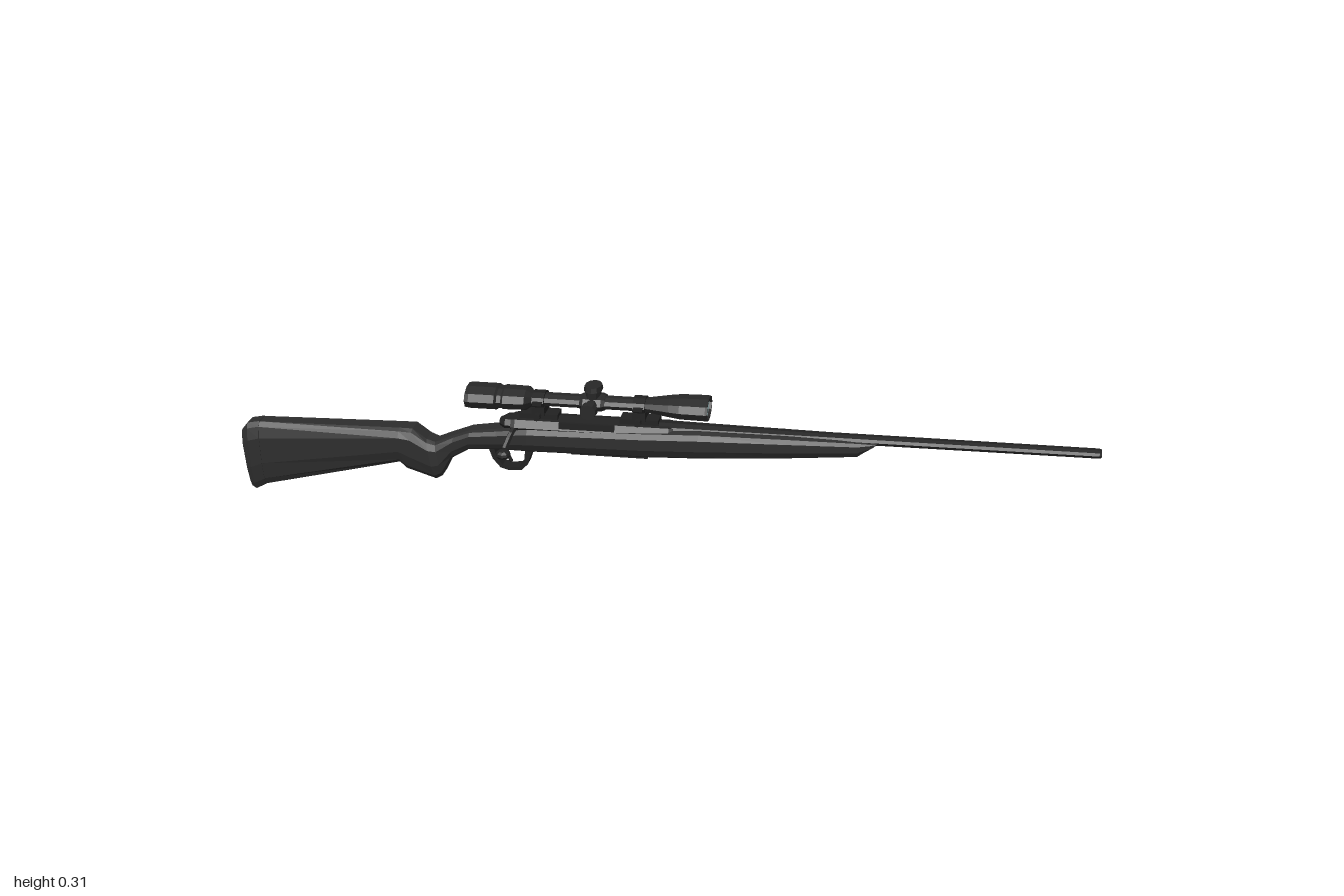
import * as THREE from 'three';

const CZ = -0.022;      // centre plane of the body
const WIDE = 1.75;      // round parts are wider than they are tall

const stockMat = new THREE.MeshStandardMaterial({ color: 0x2d2d2d });
stockMat.name = 'stock charcoal';
const metalMat = new THREE.MeshStandardMaterial({ color: 0x212121 });
metalMat.name = 'dark metal';
const scopeMat = new THREE.MeshStandardMaterial({ color: 0x272727 });
scopeMat.name = 'scope grey';
const glassMat = new THREE.MeshStandardMaterial({ color: 0xaccdd0 });
glassMat.name = 'pale glass';

// faceted normals
function facet(geo) {
  const g = geo.index ? geo.toNonIndexed() : geo;
  g.computeVertexNormals();
  return g;
}

function add(group, name, geo, mat, x = 0, y = 0, z = 0) {
  const mesh = new THREE.Mesh(facet(geo), mat);
  mesh.name = name;
  mesh.position.set(x, y, z);
  group.add(mesh);
  return mesh;
}

// turned part along x from [x, radius] pairs, widened in z
function turned(pairs, sides = 10, wide = WIDE) {
  const g = new THREE.LatheGeometry(pairs.map(([x, r]) => new THREE.Vector2(r, x)), sides);
  return g.rotateZ(-Math.PI / 2).scale(1, 1, wide);
}

// chamfered loft; section = [xTop, xBottom, yBottom, yTop, halfWidth]
function loft(sections) {
  const outline = [[1, 0.55], [0.93, 0.8], [0.76, 1], [0.36, 1], [0.1, 0.82], [0, 0.6]];
  const ring = outline.concat(outline.slice().reverse().map(([t, w]) => [t, -w]));
  const n = ring.length, pos = [], idx = [];
  for (const [xt, xb, yb, yt, hw] of sections)
    for (const [t, w] of ring) pos.push(xb + (xt - xb) * t, yb + (yt - yb) * t, w * hw);
  for (let k = 0; k < sections.length - 1; k++)
    for (let i = 0; i < n; i++) {
      const a = k * n + i, b = k * n + (i + 1) % n;
      idx.push(a, b, b + n, a, b + n, a + n);
    }
  const e = (sections.length - 1) * n;
  for (let i = 1; i < n - 1; i++) idx.push(0, i + 1, i, e, e + i, e + i + 1);
  const g = new THREE.BufferGeometry();
  g.setAttribute('position', new THREE.Float32BufferAttribute(pos, 3));
  g.setIndex(idx);
  return g;
}

export function createModel() {
  const model = new THREE.Group();
  model.name = 'scopedRifle';

  // stock, grip and fore-end
  add(model, 'buttPad', loft([
    [-1, -0.986, 0.006, 0.15, 0.03],
    [-0.985, -0.975, 0, 0.168, 0.034],
    [-0.955, -0.95, 0.013, 0.174, 0.034],
  ]), stockMat, 0, 0, CZ);
  add(model, 'buttStock', loft([
    [-0.955, -0.95, 0.014, 0.173, 0.033],
    [-0.61, -0.612, 0.095, 0.18, 0.039],
    [-0.578, -0.595, 0.08, 0.18, 0.04],
    [-0.545, -0.525, 0.058, 0.156, 0.04],
    [-0.525, -0.51, 0.066, 0.149, 0.036],
    [-0.48, -0.488, 0.11, 0.168, 0.032],
    [-0.44, -0.445, 0.136, 0.183, 0.034],
    [-0.375, -0.375, 0.142, 0.192, 0.039],
  ]), stockMat, 0, 0, CZ);
  add(model, 'foreEnd', loft([
    [-0.375, -0.375, 0.142, 0.192, 0.039],
    [-0.3, -0.3, 0.143, 0.205, 0.047],
    [-0.03, -0.03, 0.147, 0.212, 0.05],
    [0.1, 0.1, 0.152, 0.217, 0.05],
    [0.3, 0.3, 0.164, 0.216, 0.043],
    [0.46, 0.46, 0.175, 0.212, 0.031],
    [0.505, 0.492, 0.197, 0.211, 0.024],
  ]), stockMat, 0, 0, CZ);

  // barrel with a recessed muzzle, receiver and bolt shroud
  add(model, 'barrel', turned([[0, 0], [0, 0.017], [0.12, 0.015], [0.4, 0.0115],
    [0.995, 0.0105], [1, 0.009], [1, 0.005], [0.98, 0.005], [0.98, 0]]), metalMat, 0, 0.211, CZ);
  add(model, 'receiver', turned([[-0.34, 0], [-0.34, 0.021], [-0.33, 0.023], [0.03, 0.023],
    [0.045, 0.018], [0.045, 0]], 8), metalMat, 0, 0.204, CZ);
  add(model, 'boltShroud', turned([[-0.37, 0], [-0.37, 0.009], [-0.355, 0.017], [-0.34, 0.018],
    [-0.34, 0]], 8), metalMat, 0, 0.205, CZ);
  add(model, 'ejectionPort', new THREE.BoxGeometry(0.13, 0.016, 0.008), metalMat, -0.16, 0.214, CZ + 0.034);
  add(model, 'magazinePlate', new THREE.BoxGeometry(0.18, 0.01, 0.045), metalMat, -0.11, 0.145, CZ);

  // bolt handle on the front side
  const handlePath = new THREE.CatmullRomCurve3([
    new THREE.Vector3(-0.33, 0.202, 0.005), new THREE.Vector3(-0.335, 0.192, 0.03),
    new THREE.Vector3(-0.345, 0.165, 0.052)]);
  add(model, 'boltHandle', new THREE.TubeGeometry(handlePath, 5, 0.007, 6), metalMat);
  const knob = new THREE.SphereGeometry(1, 8, 6).scale(0.018, 0.011, 0.018).rotateX(0.2);
  add(model, 'boltKnob', knob, metalMat, -0.347, 0.154, 0.059);

  // trigger guard and trigger
  const guard = new THREE.Shape([[-0.4, 0.148], [-0.388, 0.115], [-0.37, 0.094], [-0.35, 0.088],
    [-0.32, 0.09], [-0.305, 0.105], [-0.295, 0.135], [-0.27, 0.148]].map(p => new THREE.Vector2(...p)));
  guard.holes.push(new THREE.Path([[-0.385, 0.143], [-0.31, 0.143], [-0.313, 0.11], [-0.325, 0.098],
    [-0.35, 0.095], [-0.365, 0.1], [-0.378, 0.118]].map(p => new THREE.Vector2(...p))));
  add(model, 'triggerGuard', new THREE.ExtrudeGeometry(guard, { depth: 0.036, bevelEnabled: false }),
    metalMat, 0, 0, CZ - 0.018);
  const triggerPath = new THREE.CatmullRomCurve3([
    new THREE.Vector3(-0.352, 0.146, 0), new THREE.Vector3(-0.357, 0.125, 0),
    new THREE.Vector3(-0.347, 0.104, 0)]);
  add(model, 'trigger', new THREE.TubeGeometry(triggerPath, 5, 0.004, 5).scale(1, 1, 1.6), metalMat, 0, 0, CZ);

  // scope
  const scope = new THREE.Group();
  scope.name = 'scope';
  scope.position.set(0, 0.265, CZ);
  model.add(scope);
  add(scope, 'scopeBody', turned([[-0.437, 0], [-0.437, 0.022], [-0.445, 0.024], [-0.445, 0.027],
    [-0.435, 0.0285], [-0.375, 0.0285], [-0.37, 0.025], [-0.36, 0.025], [-0.355, 0.027],
    [-0.305, 0.026], [-0.29, 0.015], [-0.03, 0.015], [0.03, 0.024], [0.055, 0.027],
    [0.115, 0.028], [0.12, 0.027], [0.12, 0.0235], [0.11, 0.0225], [0.11, 0]]), scopeMat);
  add(scope, 'frontLens', turned([[0.11, 0.0235], [0.114, 0.023], [0.116, 0]]), glassMat);
  add(scope, 'rearLens', turned([[-0.442, 0], [-0.44, 0.0225], [-0.437, 0.023]]), glassMat);

  // adjustment turrets: one on top, one on the front side
  add(scope, 'turretBlock', turned([[-0.178, 0], [-0.178, 0.017], [-0.17, 0.02], [-0.128, 0.02],
    [-0.12, 0.017], [-0.12, 0]], 8), scopeMat);
  add(scope, 'topTurretStem', new THREE.CylinderGeometry(0.017, 0.017, 0.02, 10).scale(1, 1, WIDE),
    scopeMat, -0.149, 0.024, 0);
  add(scope, 'topTurretCap', new THREE.CylinderGeometry(0.02, 0.022, 0.011, 10).scale(1, 1, 1.55),
    scopeMat, -0.149, 0.0365, 0);
  add(scope, 'sideTurretStem', new THREE.CylinderGeometry(0.014, 0.014, 0.04, 10).rotateX(Math.PI / 2),
    scopeMat, -0.149, 0, 0.04);
  add(scope, 'sideTurretCap', new THREE.CylinderGeometry(0.018, 0.02, 0.02, 10).rotateX(Math.PI / 2),
    scopeMat, -0.149, 0, 0.064);

  // mounts: base, foot, ring and clamp screw
  for (const x of [-0.275, -0.04]) {
    const mount = new THREE.Group();
    mount.name = 'scopeMount';
    mount.position.set(x, 0, CZ);
    model.add(mount);
    add(mount, 'mountBase', new THREE.BoxGeometry(0.09, 0.012, 0.045), metalMat, 0, 0.229, 0);
    add(mount, 'mountFoot', new THREE.BoxGeometry(0.03, 0.022, 0.055), metalMat, 0, 0.242, 0);
    add(mount, 'mountRing', turned([[-0.014, 0.014], [-0.014, 0.0195], [0.014, 0.0195], [0.014, 0.014]]),
      metalMat, 0, 0.265, 0);
    add(mount, 'clampScrew', new THREE.CylinderGeometry(0.008, 0.008, 0.02, 8).rotateX(Math.PI / 2),
      metalMat, 0, 0.233, 0.034);
    for (const s of [-1, 1])
      add(mount, 'ringClamp', new THREE.BoxGeometry(0.022, 0.008, 0.012), metalMat, 0, 0.265, s * 0.034);
  }
  return model;
}
